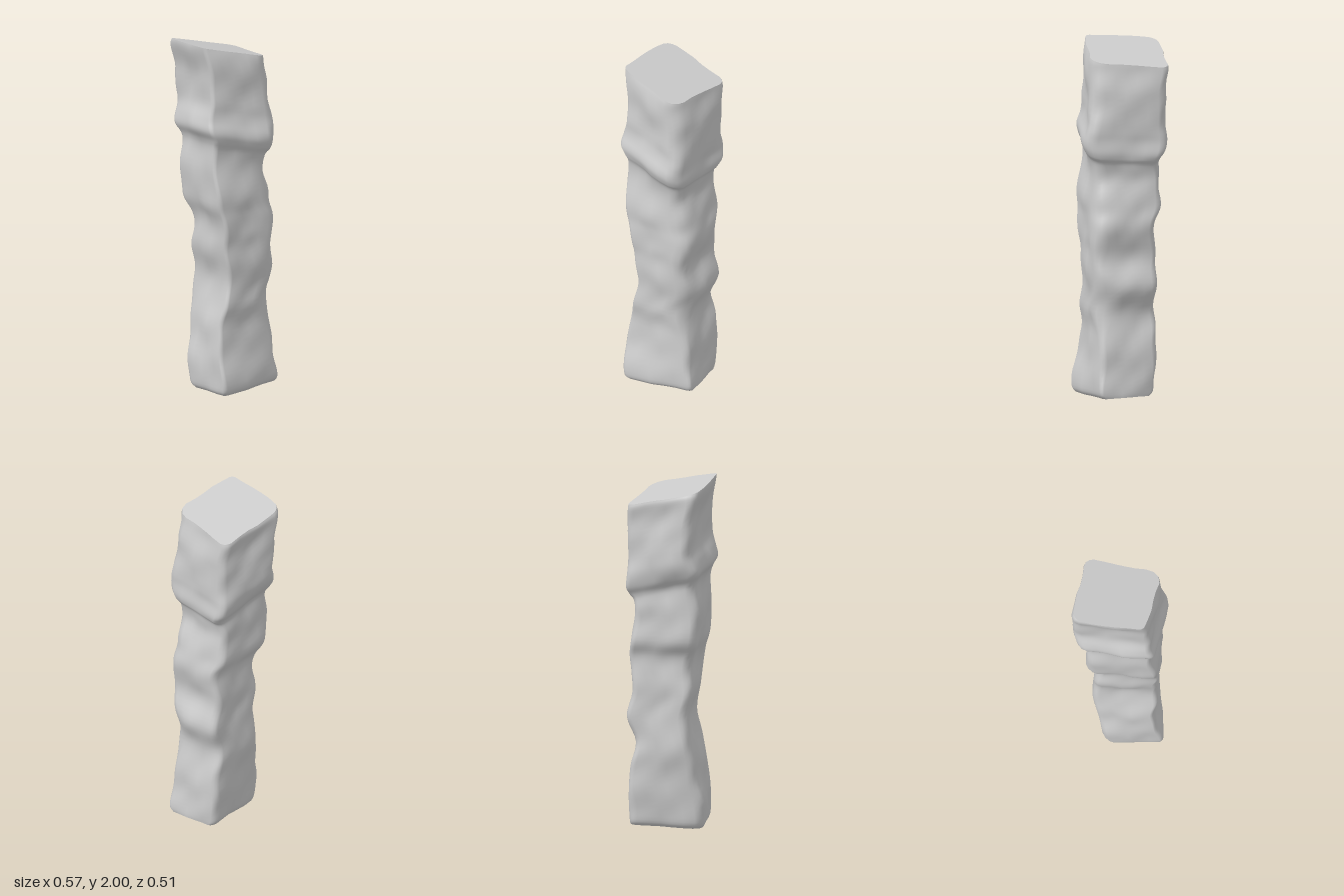
import * as THREE from 'three';

const { clamp, degToRad, mapLinear, smoothstep } = THREE.MathUtils;

// Cross-sections from the foot up: [y, xMin, xMax, zMin, zMax, back-corner wear]
const SECTIONS = [
  [0.01, -0.08, 0.225, -0.23, 0.195, 0.12],
  [0.05, -0.11, 0.245, -0.235, 0.215, 0.12],
  [0.2, -0.125, 0.235, -0.24, 0.215, 0.2],
  [0.36, -0.145, 0.225, -0.23, 0.195, 0.25],
  [0.5, -0.16, 0.228, -0.2, 0.17, 0.6],
  [0.64, -0.15, 0.24, -0.25, 0.14, 0.5],
  [0.78, -0.155, 0.25, -0.22, 0.16, 0.3],
  [0.9, -0.137, 0.255, -0.225, 0.175, 0.45],
  [1.0, -0.145, 0.25, -0.235, 0.19, 0.35],
  [1.1, -0.2, 0.235, -0.225, 0.215, 0.5],
  [1.25, -0.2, 0.225, -0.205, 0.22, 0.35],
  [1.36, -0.2, 0.235, -0.21, 0.215, 0.35],
  [1.41, -0.21, 0.265, -0.235, 0.23, 0.3],
  [1.46, -0.245, 0.283, -0.255, 0.257, 0.3],
  [1.53, -0.265, 0.278, -0.25, 0.245, 0.3],
  [1.62, -0.27, 0.26, -0.242, 0.226, 0.35],
  [1.78, -0.275, 0.24, -0.245, 0.226, 0.4],
  [1.9, -0.282, 0.235, -0.245, 0.245, 0.4],
  [1.938, -0.27, 0.228, -0.24, 0.25, 0.4],
];
const ROWS = 90;
const SIDE_STEPS = 5;
const CORNER_STEPS = 3;

// The post twists as it rises; its foot and head lean along z
const twistAt = (y) => degToRad(5 + 7 * smoothstep(y, 0, 0.4) + 8 * smoothstep(y, 1.1, 1.6));
const slopeAt = (y) => 0.25 * smoothstep(y, 1.15, 1.42) - 0.05 * (1 - smoothstep(y, 0.01, 0.2));

// Smooth interpolation through the sections
function sectionAt(t) {
  const f = t * (SECTIONS.length - 1);
  const i = Math.min(Math.floor(f), SECTIONS.length - 2);
  const u = f - i;
  const at = (k) => SECTIONS[clamp(k, 0, SECTIONS.length - 1)];
  return at(i).map((p1, k) => {
    const p2 = at(i + 1)[k];
    const m1 = (p2 - at(i - 1)[k]) / 2;
    const m2 = (at(i + 2)[k] - p1) / 2;
    return p1 + m1 * u + (3 * (p2 - p1) - 2 * m1 - m2) * u * u + (2 * (p1 - p2) + m1 + m2) * u ** 3;
  });
}

// Square outline with a different softened radius on each corner
function outline(backWear) {
  const corners = [[1, 1, 0.12], [-1, 1, 0.26], [-1, -1, 0.2], [1, -1, backWear]];
  const points = [];
  corners.forEach(([x, z, r], k) => {
    const corner = new THREE.Vector2(x, z);
    const prev = new THREE.Vector2(...corners[(k + 3) % 4]);
    const next = new THREE.Vector2(...corners[(k + 1) % 4]);
    const before = corner.clone().lerp(prev, r / 2);
    const after = corner.clone().lerp(next, r / 2);
    const soft = before.clone().add(after).multiplyScalar(0.5).lerp(corner, 0.65);
    points.push(...new THREE.QuadraticBezierCurve(before, soft, after).getPoints(CORNER_STEPS));
    const end = next.lerp(corner, corners[(k + 1) % 4][2] / 2);
    for (let s = 1; s < SIDE_STEPS; s++) points.push(after.clone().lerp(end, s / SIDE_STEPS));
  });
  return points;
}

// One weathered ring, turned and set between its section limits
function ring(t) {
  const [y, x0, x1, z0, z1, wear] = sectionAt(t);
  const pivot = new THREE.Vector2();
  const pts = outline(wear).map((p) => {
    const a = Math.atan2(p.y, p.x);
    const dent = 0.022 * Math.sin(3 * a + 11 * y) + 0.02 * Math.sin(5 * a - 17 * y + 1) + 0.012 * Math.sin(7 * a + 29 * y);
    return p.multiplyScalar(1 + dent).rotateAround(pivot, twistAt(y));
  });
  const box = new THREE.Box2().setFromPoints(pts);
  return pts.map((p) => {
    const x = mapLinear(p.x, box.min.x, box.max.x, x0, x1);
    const z = mapLinear(p.y, box.min.y, box.max.y, z0, z1);
    return new THREE.Vector3(x, y + slopeAt(y) * z, z);
  });
}

function meshFrom(name, points, index, material) {
  const geometry = new THREE.BufferGeometry().setFromPoints(points);
  geometry.setIndex(index);
  geometry.computeVertexNormals();
  const mesh = new THREE.Mesh(geometry, material);
  mesh.name = name;
  return mesh;
}

// End face closing a ring
function cap(name, loop, up, material) {
  const centre = loop.reduce((sum, p) => sum.add(p), new THREE.Vector3()).divideScalar(loop.length);
  const index = [];
  loop.forEach((_, j) => {
    const a = j + 1, b = ((j + 1) % loop.length) + 1;
    index.push(0, up ? b : a, up ? a : b);
  });
  return meshFrom(name, [centre, ...loop], index, material);
}

export function createModel() {
  const group = new THREE.Group();
  group.name = 'weatheredPost';
  const material = new THREE.MeshStandardMaterial({ color: 0xcccccc });
  const rings = Array.from({ length: ROWS + 1 }, (_, i) => ring(i / ROWS));

  // Shaft and overhanging head in one continuous skin
  const n = rings[0].length;
  const index = [];
  for (let i = 0; i < ROWS; i++) {
    for (let j = 0; j < n; j++) {
      const a = i * n + j, b = i * n + ((j + 1) % n);
      index.push(a, a + n, b, b, a + n, b + n);
    }
  }
  group.add(meshFrom('shaftAndHead', rings.flat(), index, material));

  // Sloping top and flat foot
  group.add(cap('slopingTop', rings[ROWS], true, material));
  group.add(cap('foot', rings[0], false, material));
  return group;
}
